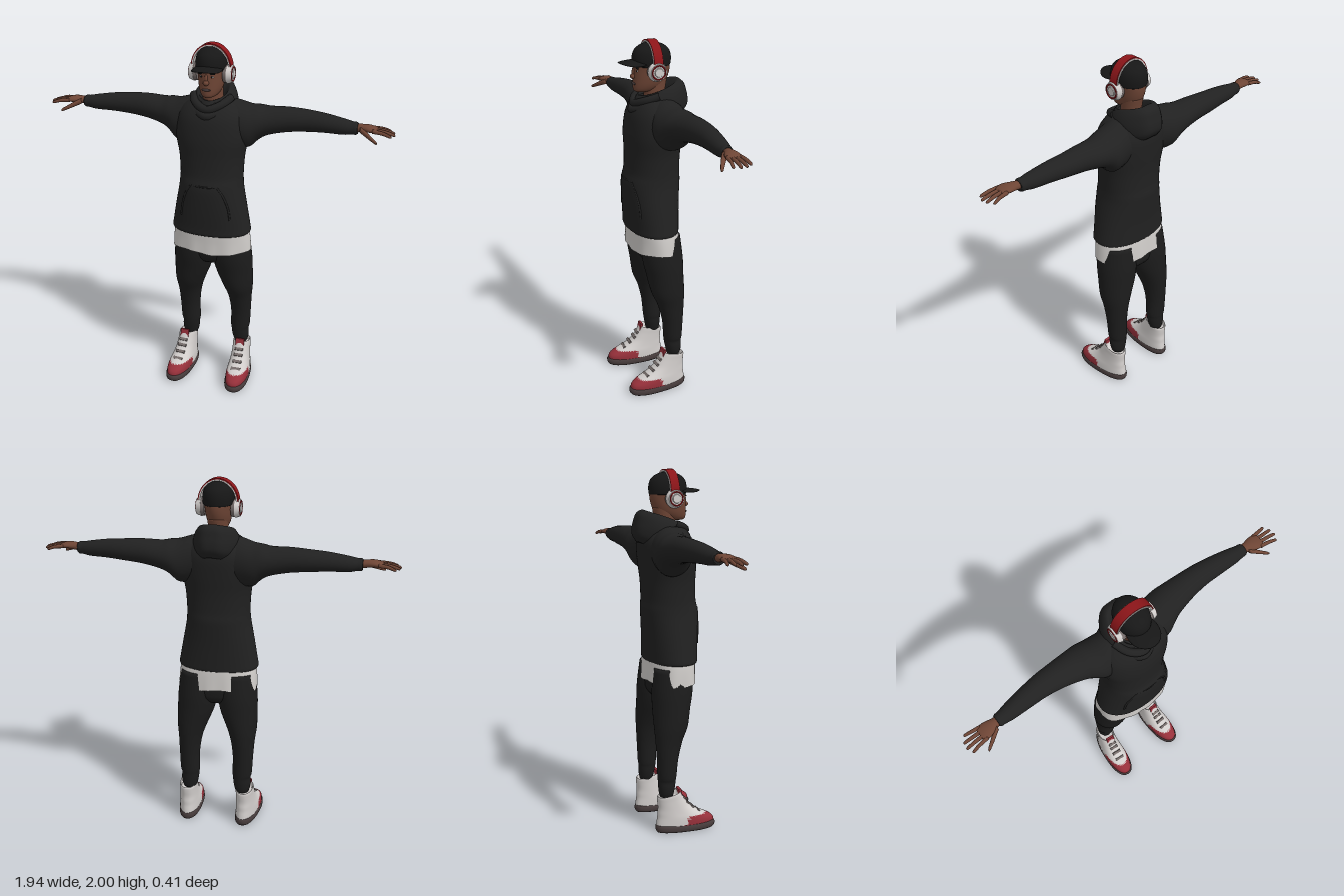
import * as THREE from 'three';

const paint = (name, color) => {
  const m = new THREE.MeshStandardMaterial({ color });
  m.name = name;
  return m;
};

// Smooth skin over oval sections. axis 'y': rows [y, x, z, rx, rz]; axis 'x': rows [x, y, z, ry, rz].
function loft(rows, { axis = 'y', seg = 32, power = 2, sub = 4, caps = true, warp = null } = {}) {
  const fine = [];
  const at = i => rows[Math.max(0, Math.min(rows.length - 1, i))];
  for (let i = 0; i < rows.length - 1; i++) {
    for (let s = 0; s < sub; s++) {
      const t = s / sub;
      fine.push(rows[i].map((b, k) => {
        const a = at(i - 1)[k], c = at(i + 1)[k], d = at(i + 2)[k];
        return b + 0.5 * t * (c - a + t * (2 * a - 5 * b + 4 * c - d + t * (3 * (b - c) + d - a)));
      }));
    }
  }
  fine.push(rows[rows.length - 1]);
  const pos = [], index = [], e = 2 / power;
  const put = (t, c1, c2, u, v) => {
    const p = axis === 'y' ? new THREE.Vector3(c1 + u, t, c2 + v) : new THREE.Vector3(t, c1 + v, c2 + u);
    if (warp) warp(p);
    pos.push(p.x, p.y, p.z);
  };
  const round = v => Math.sign(v) * Math.abs(v) ** e;
  for (const [t, c1, c2, r1, r2] of fine) {
    const [ru, rv] = axis === 'y' ? [r1, r2] : [r2, r1];
    for (let j = 0; j < seg; j++) {
      const q = j / seg * Math.PI * 2;
      put(t, c1, c2, ru * round(Math.cos(q)), rv * round(Math.sin(q)));
    }
  }
  const n = fine.length;
  for (let i = 0; i < n - 1; i++) for (let j = 0; j < seg; j++) {
    const a = i * seg + j, b = i * seg + (j + 1) % seg;
    index.push(a, a + seg, b, b, a + seg, b + seg);
  }
  if (caps) {
    put(fine[0][0], fine[0][1], fine[0][2], 0, 0);
    put(fine[n - 1][0], fine[n - 1][1], fine[n - 1][2], 0, 0);
    for (let j = 0; j < seg; j++) {
      const k = (j + 1) % seg, top = (n - 1) * seg;
      index.push(n * seg, j, k, n * seg + 1, top + k, top + j);
    }
  }
  const g = new THREE.BufferGeometry();
  g.setAttribute('position', new THREE.Float32BufferAttribute(pos, 3));
  g.setIndex(index);
  g.computeVertexNormals();
  return g;
}

function mirrored(geo) {
  const g = geo.clone().scale(-1, 1, 1), ix = g.index;
  for (let i = 0; i < ix.count; i += 3) {
    const b = ix.getX(i + 1);
    ix.setX(i + 1, ix.getX(i + 2));
    ix.setX(i + 2, b);
  }
  return g;
}

// Sorts faces into two material groups by the position of their centre
function splitFaces(g, test) {
  const sets = [[], []], p = g.attributes.position, ix = g.index.array;
  for (let i = 0; i < ix.length; i += 3) {
    const f = [ix[i], ix[i + 1], ix[i + 2]];
    const mean = k => f.reduce((s, v) => s + p.getComponent(v, k), 0) / 3;
    sets[test(mean(0), mean(1), mean(2)) ? 1 : 0].push(...f);
  }
  g.setIndex([...sets[0], ...sets[1]]);
  g.addGroup(0, sets[0].length, 0);
  g.addGroup(sets[0].length, sets[1].length, 1);
  return g;
}

const ball = (x, y, z, rx, ry, rz) => new THREE.SphereGeometry(1, 20, 14).scale(rx, ry, rz).translate(x, y, z);
const tube = (pts, r) => new THREE.TubeGeometry(
  new THREE.CatmullRomCurve3(pts.map(p => new THREE.Vector3(...p))), 24, r, 8);

function arch(rx, ry, thick, width) {
  const s = new THREE.Shape();
  s.absellipse(0, 0, rx, ry, 0, Math.PI, false);
  s.absellipse(0, 0, rx - thick, ry - thick, Math.PI, 0, true);
  return new THREE.ExtrudeGeometry(s, { depth: width, bevelEnabled: false, curveSegments: 32 })
    .translate(0, 1.875, -width / 2 - 0.003);
}

export function createModel() {
  const model = new THREE.Group();
  model.name = 'figure';
  const black = paint('hoodieBlack', 0x212121), pants = paint('trouserBlack', 0x1c1c1c);
  const dark = paint('capBlack', 0x171717), skin = paint('skin', 0x6e4535);
  const cloth = paint('shirtWhite', 0xcfccc9), white = paint('shellWhite', 0xd2cecc);
  const red = paint('shoeRed', 0x96303a), bandRed = paint('bandRed', 0x8c1519);
  const sole = paint('soleGrey', 0x483d3d), grey = paint('laceGrey', 0x756c6a);
  cloth.side = THREE.DoubleSide;

  const add = (name, geo, mat) => {
    const m = new THREE.Mesh(geo, mat);
    m.name = name;
    model.add(m);
  };
  const pair = (name, geo, mat) => {
    add(name + 'Left', geo, mat);
    add(name + 'Right', mirrored(geo), mat);
  };

  // Hoodie body, with a gathered hem
  add('hoodieBody', loft([
    [0.95, 0, 0, 0.212, 0.128], [0.96, 0, 0.002, 0.224, 0.136], [1.0, 0, 0.002, 0.218, 0.138],
    [1.1, 0, 0.004, 0.2, 0.145], [1.2, 0, 0.003, 0.181, 0.152], [1.25, 0, 0, 0.175, 0.152],
    [1.3, 0, -0.004, 0.174, 0.144], [1.4, 0, -0.007, 0.181, 0.144], [1.5, 0, -0.012, 0.2, 0.15],
    [1.6, 0, -0.022, 0.195, 0.147], [1.66, 0, -0.026, 0.165, 0.125], [1.7, 0, -0.025, 0.11, 0.095]
  ], { seg: 48, power: 2.2 }), black);
  pair('sleeve', loft([
    [0.06, 1.58, -0.04, 0.122, 0.1], [0.13, 1.57, -0.042, 0.128, 0.108], [0.2, 1.56, -0.052, 0.118, 0.11],
    [0.25, 1.58, -0.064, 0.094, 0.1], [0.3, 1.59, -0.073, 0.077, 0.088], [0.4, 1.603, -0.08, 0.067, 0.072],
    [0.5, 1.606, -0.083, 0.059, 0.062], [0.6, 1.605, -0.077, 0.051, 0.054], [0.7, 1.598, -0.07, 0.042, 0.044],
    [0.745, 1.597, -0.067, 0.034, 0.036], [0.765, 1.597, -0.066, 0.034, 0.035], [0.775, 1.597, -0.066, 0.028, 0.03]
  ], { axis: 'x' }), black);
  pair('pocketEdge', tube([[0.075, 1.25, 0.138], [0.105, 1.2, 0.129], [0.13, 1.13, 0.119], [0.14, 1.06, 0.114]], 0.006), black);
  add('pocketTop', tube([[-0.075, 1.25, 0.138], [0, 1.25, 0.151], [0.075, 1.25, 0.138]], 0.005), black);

  // Hood lying open behind the neck and draped in front
  add('hood', loft([
    [1.55, 0, -0.06, 0.09, 0.12], [1.58, 0, -0.06, 0.115, 0.143], [1.62, 0, -0.052, 0.125, 0.152],
    [1.66, 0, -0.045, 0.125, 0.15], [1.7, 0, -0.045, 0.112, 0.138], [1.728, 0, -0.043, 0.092, 0.116],
    [1.73, 0, -0.037, 0.078, 0.1], [1.7, 0, -0.025, 0.063, 0.08], [1.66, 0, -0.02, 0.055, 0.065]
  ], { seg: 40, warp: p => {
    p.y -= 0.35 * p.z;
    p.z += 0.004 * Math.cos(p.x * 60);
  } }), black);
  for (const [i, d] of [0, 0.035].entries()) {
    add('hoodFold' + i, tube([[-0.105, 1.715 - d, -0.01], [-0.07, 1.69 - d, 0.06], [0, 1.668 - d, 0.095 + d * 0.3],
      [0.07, 1.69 - d, 0.06], [0.105, 1.715 - d, -0.01]], 0.022), black);
  }

  // Undershirt hanging below the hem
  add('shirt', loft([
    [0.98, 0, 0, 0.205, 0.125], [0.95, 0, -0.003, 0.214, 0.128], [0.9, 0, -0.006, 0.22, 0.13], [0.84, 0, -0.008, 0.224, 0.133]
  ].reverse(), { seg: 64, power: 2.3, caps: false, warp: p => {
    const q = Math.atan2(p.z, p.x), f = 1 + 0.15 * (0.97 - p.y) * Math.cos(9 * q);
    p.x *= f;
    p.z *= f;
    p.y += 0.006 * Math.sin(3 * q + 1);
  } }), cloth);

  // Baggy tapered trousers
  add('trouserSeat', loft([[0.75, 0, -0.025, 0.13, 0.07], [0.8, 0, -0.025, 0.195, 0.1], [0.94, 0, -0.01, 0.2, 0.11]]), pants);
  pair('trouserLeg', loft([
    [0.2, 0.156, -0.077, 0.036, 0.036], [0.225, 0.156, -0.077, 0.045, 0.042], [0.26, 0.154, -0.075, 0.05, 0.047],
    [0.29, 0.152, -0.073, 0.05, 0.05], [0.32, 0.154, -0.073, 0.056, 0.053], [0.42, 0.157, -0.07, 0.058, 0.06],
    [0.52, 0.153, -0.06, 0.068, 0.076], [0.6, 0.144, -0.045, 0.086, 0.095], [0.7, 0.124, -0.035, 0.106, 0.105],
    [0.8, 0.113, -0.025, 0.113, 0.114], [0.93, 0.105, -0.015, 0.105, 0.11]
  ]), pants);

  // High-top shoes, toes turned slightly out
  const place = g => g.rotateY(0.07).translate(0.173, 0, 0);
  const heel = p => { p.x *= 1 + 0.4 * Math.min(0.1, p.z); };
  pair('shoeSole', place(loft([
    [0, 0, 0.028, 0.058, 0.165], [0.01, 0, 0.03, 0.065, 0.173], [0.03, 0, 0.03, 0.066, 0.175], [0.042, 0, 0.028, 0.06, 0.168]
  ], { power: 2.4, sub: 2, warp: heel })), sole);
  pair('shoeUpper', place(splitFaces(loft([
    [0.03, 0, 0.028, 0.062, 0.17], [0.06, 0, 0.027, 0.062, 0.165], [0.085, 0, 0.011, 0.06, 0.145],
    [0.11, 0, -0.016, 0.056, 0.117], [0.14, 0, -0.037, 0.053, 0.093], [0.18, 0, -0.056, 0.051, 0.077],
    [0.21, 0, -0.066, 0.051, 0.068], [0.216, 0, -0.066, 0.046, 0.062], [0.19, 0, -0.066, 0.04, 0.054]
  ], { seg: 48, power: 2.3, warp: p => {
    heel(p);
    p.y += Math.max(0, p.y - 0.15) * 3 * (p.z + 0.07);
  } }), (x, y, z) => y < 0.088 && z > 0.015 + 0.3 * (y - 0.03))), [white, red]);
  for (let i = 0; i < 4; i++) {
    const lace = new THREE.BoxGeometry(0.056 - i * 0.003, 0.01, 0.016).rotateX(0.7);
    pair('lace' + i, place(lace.translate(0, 0.105 + i * 0.028, [0.103, 0.068, 0.038, 0.019][i])), grey);
  }
  pair('tongue', place(new THREE.BoxGeometry(0.05, 0.045, 0.014).rotateX(-0.2).translate(0, 0.223, -0.005)), red);

  // Hands with spread fingers
  pair('palm', loft([
    [0.75, 1.597, -0.066, 0.02, 0.024], [0.79, 1.603, -0.063, 0.021, 0.027],
    [0.835, 1.606, -0.057, 0.018, 0.041], [0.87, 1.602, -0.055, 0.013, 0.041], [0.88, 1.6, -0.055, 0.008, 0.036]
  ], { axis: 'x', seg: 20 }), skin);
  [0.945, 0.965, 0.97, 0.955].forEach((tip, i) => {
    const z0 = -0.088 + i * 0.022, z1 = -0.102 + i * 0.031, mid = (0.86 + tip) / 2;
    pair('finger' + i, loft([
      [0.855, 1.603, z0, 0.011, 0.011], [mid, 1.599, (z0 + z1) / 2, 0.01, 0.0095],
      [tip - 0.01, 1.589, z1, 0.008, 0.008], [tip, 1.586, z1, 0.003, 0.003]
    ], { axis: 'x', seg: 10 }), skin);
  });
  pair('thumb', loft([
    [0.79, 1.6, -0.043, 0.016, 0.018], [0.83, 1.582, -0.015, 0.014, 0.014],
    [0.86, 1.567, 0.004, 0.011, 0.011], [0.882, 1.557, 0.017, 0.008, 0.008], [0.888, 1.554, 0.02, 0.003, 0.003]
  ], { axis: 'x', seg: 12 }), skin);

  // Head and face
  add('neck', loft([[1.64, 0, -0.025, 0.058, 0.06], [1.72, 0, -0.022, 0.053, 0.058], [1.8, 0, -0.025, 0.056, 0.068]]), skin);
  add('head', loft([
    [1.727, 0, 0.045, 0.022, 0.036], [1.738, 0, 0.03, 0.042, 0.066], [1.765, 0, 0.012, 0.058, 0.087],
    [1.8, 0, 0.002, 0.067, 0.096], [1.84, 0, -0.004, 0.072, 0.101], [1.88, 0, -0.006, 0.076, 0.1], [1.93, 0, -0.006, 0.07, 0.09]
  ], { seg: 40 }), skin);
  add('nose', ball(0, 1.812, 0.1, 0.016, 0.014, 0.015), skin);
  add('noseBridge', ball(0, 1.832, 0.095, 0.009, 0.026, 0.011), skin);
  add('mouth', ball(0, 1.774, 0.096, 0.024, 0.007, 0.008), sole);
  pair('eye', ball(0.029, 1.843, 0.087, 0.011, 0.005, 0.004), white);
  pair('pupil', ball(0.029, 1.843, 0.09, 0.005, 0.005, 0.003), dark);
  pair('eyebrow', ball(0.03, 1.858, 0.087, 0.017, 0.004, 0.006), dark);
  pair('ear', ball(0.074, 1.84, -0.005, 0.01, 0.03, 0.02), skin);

  // Cap with a curved brim
  add('capDome', loft([
    [1.865, 0, -0.005, 0.08, 0.101], [1.875, 0, -0.005, 0.084, 0.105], [1.91, 0, -0.005, 0.085, 0.106],
    [1.945, 0, -0.005, 0.076, 0.095], [1.97, 0, -0.005, 0.053, 0.066], [1.983, 0, -0.005, 0.022, 0.028], [1.986, 0, -0.005, 0.004, 0.005]
  ], { seg: 40 }), dark);
  const brim = ball(0, 1.892, 0.085, 0.08, 0.008, 0.095), bp = brim.attributes.position;
  for (let i = 0; i < bp.count; i++) bp.setY(i, bp.getY(i) - 2.6 * bp.getX(i) ** 2 - 0.05 * (bp.getZ(i) - 0.085));
  brim.computeVertexNormals();
  add('capBrim', brim, dark);

  // Headphones
  add('headband', arch(0.11, 0.125, 0.01, 0.05), bandRed);
  add('headbandLiner', arch(0.104, 0.119, 0.007, 0.056), white);
  const disc = (r0, r1, w, x) => new THREE.CylinderGeometry(r1, r0, w, 32).rotateZ(-Math.PI / 2).translate(x, 1.845, 0);
  pair('earPad', disc(0.048, 0.05, 0.022, 0.082), grey);
  pair('earCup', disc(0.053, 0.044, 0.026, 0.104), white);
  pair('earCupRing', new THREE.TorusGeometry(0.036, 0.004, 8, 32).rotateY(Math.PI / 2).translate(0.117, 1.845, 0), bandRed);
  pair('earCupButton', disc(0.025, 0.022, 0.006, 0.119), white);
  return model;
}
